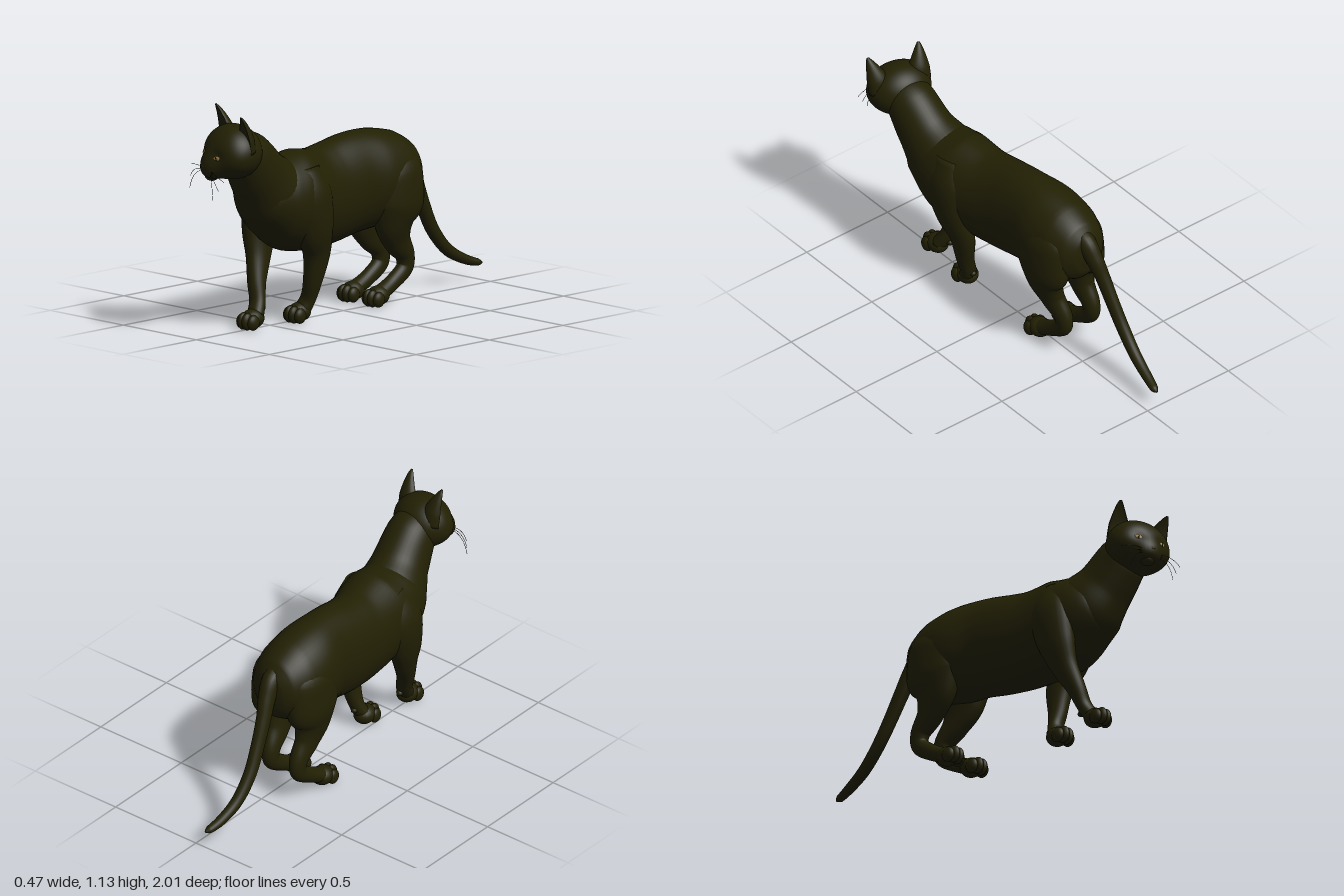
import * as THREE from 'three';

const fur = new THREE.MeshStandardMaterial({ color: 0x222003 });
fur.name = 'dark fur';
const gold = new THREE.MeshStandardMaterial({ color: 0xb08f45 });
gold.name = 'gold iris';
const black = new THREE.MeshStandardMaterial({ color: 0x14130a });
black.name = 'black';

const V = (x, y, z) => new THREE.Vector3(x, y, z);

function mesh(name, geometry, material = fur) {
  const m = new THREE.Mesh(geometry, material);
  m.name = name;
  return m;
}

// Smooth skin over elliptical stations [x, y, z, sideRadius, otherRadius].
// cup < 1 hollows one side of the section, as in an ear.
function loft(stations, sides = 28, steps = 6, cup = 1) {
  const path = new THREE.CatmullRomCurve3(stations.map(s => V(s[0], s[1], s[2])));
  const radii = new THREE.CatmullRomCurve3(stations.map(s => V(s[3], s[4], 0)));
  const n = (stations.length - 1) * steps;
  const pos = [], index = [];
  for (let i = -1; i <= n + 1; i++) {
    const t = Math.min(Math.max(i / n, 0), 1);
    const c = path.getPoint(t), r = radii.getPoint(t), T = path.getTangent(t);
    if (i < 0 || i > n) r.set(0, 0, 0);
    const side = V(1, 0, 0).addScaledVector(T, -T.x).normalize();
    const up = T.clone().cross(side);
    for (let j = 0; j < sides; j++) {
      const a = (j / sides) * Math.PI * 2, s = Math.sin(a);
      const p = c.clone()
        .addScaledVector(side, Math.cos(a) * Math.max(r.x, 0))
        .addScaledVector(up, (s < 0 ? s * cup : s) * Math.max(r.y, 0));
      pos.push(p.x, p.y, p.z);
    }
  }
  for (let i = 0; i < n + 2; i++) {
    for (let j = 0; j < sides; j++) {
      const a = i * sides + j, b = i * sides + (j + 1) % sides;
      index.push(a, b, a + sides, b, b + sides, a + sides);
    }
  }
  const g = new THREE.BufferGeometry();
  g.setAttribute('position', new THREE.Float32BufferAttribute(pos, 3));
  g.setIndex(index);
  g.computeVertexNormals();
  return g;
}

function blob(name, p, r, material = fur) {
  const m = mesh(name, new THREE.SphereGeometry(1, 20, 14), material);
  m.position.set(...p);
  m.scale.set(...r);
  return m;
}

// Paw with four toes
function paw(x, z, name) {
  const g = new THREE.Group();
  g.name = name;
  g.position.set(x, 0, z);
  g.add(blob('pawPad', [0, 0.06, -0.012], [0.053, 0.048, 0.06]));
  [-0.038, -0.014, 0.014, 0.038].forEach((tx, i) => {
    const mid = i === 1 || i === 2;
    g.add(blob('toe', [tx, mid ? 0.053 : 0.048, mid ? 0.038 : 0.022], [0.022, mid ? 0.043 : 0.038, 0.035]));
  });
  return g;
}

// Head surface: an ellipsoid with swellings and hollows
const bumps = [
  [V(0, -0.52, 0.86), 0.37, 10],
  [V(0, 0.6, 0.8), -0.04, 7],
  [V(0.4, 0.0, 0.9), -0.06, 45], [V(-0.4, 0.0, 0.9), -0.06, 45],
  [V(0.8, -0.3, 0.45), 0.06, 8], [V(-0.8, -0.3, 0.45), 0.06, 8],
  [V(0.2, -0.6, 0.78), 0.05, 60], [V(-0.2, -0.6, 0.78), 0.05, 60],
];
bumps.forEach(b => b[0].normalize());
function headPoint(dir) {
  const d = dir.clone().normalize();
  let k = 1;
  for (const [c, amp, sharp] of bumps) k += amp * Math.exp(-(1 - d.dot(c)) * sharp);
  return d.multiply(V(0.158, 0.133, 0.135)).multiplyScalar(k);
}

function createHead() {
  const head = new THREE.Group();
  head.name = 'head';
  const skull = new THREE.SphereGeometry(1, 64, 48);
  const p = skull.attributes.position;
  for (let i = 0; i < p.count; i++) {
    const q = headPoint(V(p.getX(i), p.getY(i), p.getZ(i)));
    p.setXYZ(i, q.x, q.y, q.z);
  }
  skull.computeVertexNormals();
  head.add(mesh('skull', skull));
  head.add(blob('nose', [0, -0.065, 0.158], [0.016, 0.012, 0.011]));
  head.add(blob('chin', [0, -0.112, 0.112], [0.034, 0.026, 0.035]));

  for (const s of [-1, 1]) {
    // Ears, hollow at the front
    head.add(mesh('ear', loft([
      [s * 0.097, 0.03, -0.012, 0.064, 0.05],
      [s * 0.108, 0.09, 0.0, 0.055, 0.046],
      [s * 0.12, 0.145, 0.015, 0.035, 0.03],
      [s * 0.129, 0.186, 0.03, 0.017, 0.015],
      [s * 0.132, 0.204, 0.038, 0.006, 0.005],
    ], 24, 5, -0.25)));

    // Eyes
    const dir = V(s * 0.4, -0.08, 0.9);
    const eye = new THREE.Group();
    eye.name = 'eye';
    eye.position.copy(headPoint(dir));
    eye.rotation.set(0.05, s * 0.4, s * 0.3);
    eye.add(blob('iris', [0, 0, 0], [0.021, 0.012, 0.005], gold));
    eye.add(blob('pupil', [0, 0, 0.003], [0.0045, 0.011, 0.0035], black));
    head.add(eye);

    // Whiskers
    for (let i = 0; i < 3; i++) {
      const curve = new THREE.QuadraticBezierCurve3(
        V(s * 0.04, -0.078 - i * 0.008, 0.14),
        V(s * 0.1, -0.07 - i * 0.02, 0.165),
        V(s * (0.17 - i * 0.025), -0.1 - i * 0.05, 0.135 + i * 0.015));
      head.add(mesh('whisker', new THREE.TubeGeometry(curve, 10, 0.0011, 5), black));
    }
  }
  head.position.set(0.072, 0.925, 0.82);
  head.rotation.set(0, -0.3, -0.09);
  return head;
}

export function createModel() {
  const cat = new THREE.Group();
  cat.name = 'cat';

  cat.add(mesh('body', loft([
    [-0.04, 0.636, -0.5, 0.03, 0.04],
    [-0.04, 0.636, -0.488, 0.08, 0.1],
    [-0.04, 0.635, -0.45, 0.13, 0.155],
    [-0.038, 0.634, -0.35, 0.175, 0.212],
    [-0.035, 0.633, -0.2, 0.186, 0.243],
    [-0.025, 0.628, -0.05, 0.164, 0.25],
    [-0.018, 0.604, 0.1, 0.168, 0.25],
    [-0.003, 0.596, 0.23, 0.175, 0.247],
    [0.022, 0.617, 0.4, 0.191, 0.248],
    [0.031, 0.645, 0.52, 0.182, 0.205],
    [0.044, 0.665, 0.62, 0.146, 0.145],
    [0.047, 0.675, 0.675, 0.09, 0.085],
    [0.047, 0.68, 0.692, 0.02, 0.02],
  ], 48)));

  cat.add(mesh('neck', loft([
    [0.025, 0.56, 0.4, 0.13, 0.15],
    [0.035, 0.67, 0.53, 0.165, 0.19],
    [0.057, 0.77, 0.63, 0.137, 0.152],
    [0.07, 0.885, 0.73, 0.122, 0.128],
    [0.073, 0.93, 0.8, 0.11, 0.1],
  ], 40)));

  cat.add(createHead());

  cat.add(mesh('tail', loft([
    [-0.038, 0.73, -0.39, 0.045, 0.045],
    [-0.042, 0.7, -0.47, 0.048, 0.054],
    [-0.052, 0.63, -0.522, 0.042, 0.047],
    [-0.068, 0.54, -0.566, 0.035, 0.04],
    [-0.08, 0.42, -0.625, 0.032, 0.037],
    [-0.09, 0.29, -0.7, 0.031, 0.034],
    [-0.088, 0.18, -0.8, 0.029, 0.03],
    [-0.075, 0.12, -0.91, 0.025, 0.024],
    [-0.062, 0.1, -0.975, 0.02, 0.018],
    [-0.058, 0.097, -0.998, 0.006, 0.006],
  ], 20)));

  // Hind legs: shared side profile, own sideways path
  const hind = [
    [0.76, -0.265, 0.048, 0.075], [0.65, -0.283, 0.088, 0.165], [0.52, -0.292, 0.09, 0.163],
    [0.41, -0.288, 0.07, 0.118], [0.32, -0.323, 0.05, 0.08], [0.235, -0.388, 0.042, 0.052],
    [0.175, -0.39, 0.037, 0.046], [0.11, -0.305, 0.037, 0.04], [0.06, -0.2, 0.045, 0.038],
  ];
  const hindX = {
    rightHindLeg: [-0.12, -0.138, -0.145, -0.142, -0.14, -0.14, -0.14, -0.14, -0.142],
    leftHindLeg: [0.045, 0.068, 0.073, 0.062, 0.044, 0.03, 0.028, 0.028, 0.03],
  };
  for (const [name, xs] of Object.entries(hindX)) {
    cat.add(mesh(name, loft(hind.map((h, i) => [xs[i], ...h]))));
    cat.add(paw(xs[8], -0.195, name + 'Paw'));
  }

  // Front legs in mid stride
  cat.add(mesh('rightFrontLeg', loft([
    [-0.07, 0.77, 0.4, 0.05, 0.08], [-0.108, 0.62, 0.43, 0.08, 0.125],
    [-0.108, 0.46, 0.465, 0.068, 0.1], [-0.085, 0.34, 0.495, 0.053, 0.07],
    [-0.05, 0.22, 0.54, 0.045, 0.047], [-0.02, 0.13, 0.565, 0.042, 0.036],
    [0, 0.07, 0.6, 0.045, 0.038],
  ])));
  cat.add(paw(0, 0.628, 'rightFrontPaw'));
  cat.add(blob('rightWristPad', [-0.015, 0.1, 0.538], [0.017, 0.015, 0.018]));

  cat.add(mesh('leftFrontLeg', loft([
    [0.115, 0.78, 0.38, 0.055, 0.085], [0.146, 0.64, 0.37, 0.074, 0.13],
    [0.138, 0.48, 0.33, 0.068, 0.11], [0.112, 0.36, 0.292, 0.055, 0.08],
    [0.085, 0.2, 0.297, 0.043, 0.048], [0.062, 0.12, 0.304, 0.041, 0.036],
    [0.045, 0.07, 0.325, 0.045, 0.038],
  ])));
  cat.add(paw(0.04, 0.35, 'leftFrontPaw'));
  cat.add(blob('leftWristPad', [0.055, 0.105, 0.276], [0.017, 0.015, 0.018]));

  return cat;
}
